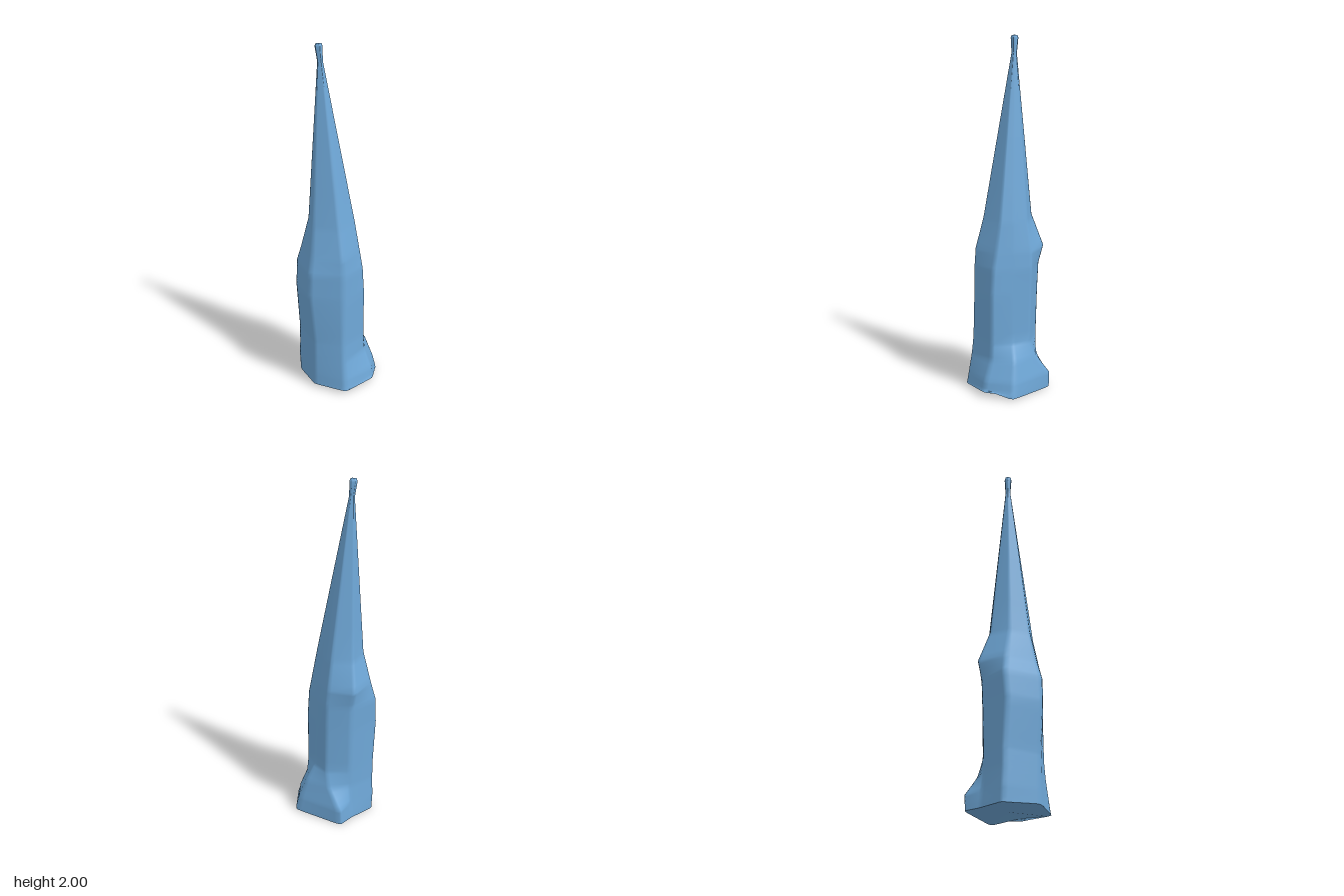
import * as THREE from 'three';

// Cross-sections: height, then seven corners as x, z (front right, right, back right, back, back left, left, front)
const LEVELS = [
  [0.01, 0.13, 0.18, 0.225, 0.025, 0.06, -0.23, -0.03, -0.19, -0.19, -0.15, -0.2, 0.08, -0.07, 0.235],
  [0.09, 0.125, 0.165, 0.205, 0.02, 0.065, -0.23, -0.03, -0.18, -0.195, -0.15, -0.2, 0.08, -0.068, 0.222],
  [0.2, 0.1, 0.125, 0.165, 0.005, 0.09, -0.14, -0.03, -0.17, -0.195, -0.145, -0.2, 0.08, -0.064, 0.205],
  [0.3, 0.098, 0.12, 0.105, 0, 0.09, -0.1, -0.03, -0.17, -0.195, -0.145, -0.2, 0.08, -0.062, 0.195],
  [0.57, 0.1, 0.12, 0.098, 0, 0.09, -0.105, -0.03, -0.178, -0.215, -0.14, -0.228, 0.08, -0.06, 0.188],
  [0.72, 0.095, 0.11, 0.092, 0, 0.09, -0.11, -0.03, -0.185, -0.205, -0.15, -0.224, 0.08, -0.06, 0.186],
  [0.82, 0.085, 0.09, 0.085, 0, 0.08, -0.11, -0.035, -0.216, -0.185, -0.125, -0.203, 0.06, -0.06, 0.18],
  [1.0, 0.065, 0.06, 0.066, -0.01, 0.05, -0.095, -0.058, -0.15, -0.155, -0.085, -0.178, 0.03, -0.062, 0.132],
];
// Tip rings: height, centre x, centre z, radius
const TIP = [
  [1.9, -0.09, -0.054, 0.016], [1.95, -0.094, -0.057, 0.019],
  [1.985, -0.097, -0.058, 0.022], [1.998, -0.097, -0.058, 0.018], [2.0, -0.097, -0.058, 0.01],
];
const SIDES = 7;

// Replaces each sharp corner with three points
function roundedRing(corners) {
  return corners.flatMap((p, i) => {
    const a = p.clone().lerp(corners[(i + SIDES - 1) % SIDES], 0.13);
    const b = p.clone().lerp(corners[(i + 1) % SIDES], 0.13);
    const mid = a.clone().add(b).multiplyScalar(0.5).lerp(p, 0.65);
    return [a, mid, b];
  });
}

function makeRings() {
  const sections = LEVELS.map(([y, ...c]) =>
    roundedRing(Array.from({ length: SIDES }, (_, i) => new THREE.Vector3(c[i * 2], y, c[i * 2 + 1]))));
  // Tip corners follow the directions of the body's corners
  const last = LEVELS[LEVELS.length - 1];
  for (const [y, cx, cz, r] of TIP) {
    sections.push(roundedRing(Array.from({ length: SIDES }, (_, i) => {
      const a = Math.atan2(last[i * 2 + 2] + 0.01, last[i * 2 + 1] + 0.055);
      return new THREE.Vector3(cx + r * Math.cos(a), y, cz + r * Math.sin(a));
    })));
  }
  // Extra rows keep the shading of each ridge local
  const rings = [];
  sections.forEach((ring, s) => {
    rings.push(ring);
    const next = sections[s + 1];
    if (!next) return;
    const cuts = next[0].y - ring[0].y > 0.05 ? [0.2, 0.5, 0.8] : [];
    cuts.forEach((t) => rings.push(ring.map((p, i) => p.clone().lerp(next[i], t))));
  });
  return rings;
}

function loft(rings) {
  const n = rings[0].length;
  const pos = rings.flat().flatMap((p) => [p.x, p.y, p.z]);
  const index = [];
  for (let r = 0; r < rings.length - 1; r++) {
    for (let i = 0; i < n; i++) {
      const a = r * n + i, b = r * n + (i + 1) % n;
      index.push(a, b, b + n, a, b + n, a + n);
    }
  }
  const g = new THREE.BufferGeometry();
  g.setAttribute('position', new THREE.Float32BufferAttribute(pos, 3));
  g.setIndex(index);
  g.computeVertexNormals();
  return g;
}

// Fan closing one ring
function cap(ring, up) {
  const c = new THREE.Vector3();
  ring.forEach((p) => c.addScaledVector(p, 1 / ring.length));
  const pos = [c, ...ring].flatMap((p) => [p.x, p.y, p.z]);
  const index = [];
  ring.forEach((_, i) => {
    const a = i + 1, b = (i + 1) % ring.length + 1;
    index.push(0, ...(up ? [a, b] : [b, a]));
  });
  const g = new THREE.BufferGeometry();
  g.setAttribute('position', new THREE.Float32BufferAttribute(pos, 3));
  g.setIndex(index);
  g.computeVertexNormals();
  return g;
}

export function createModel() {
  const group = new THREE.Group();
  group.name = 'crystalSpire';
  const blue = new THREE.MeshStandardMaterial({ color: 0x6fa8d8 });
  blue.name = 'crystalBlue';

  const rings = makeRings();
  // Underside is lifted a little at the front right and front
  rings[0].forEach((p, i) => {
    const corner = Math.floor(i / 3);
    p.y = corner === 0 ? 0.04 : corner === 5 || corner === 6 ? 0.018 : corner === 1 ? 0.006 : 0;
  });

  const add = (name, geometry) => {
    const mesh = new THREE.Mesh(geometry, blue);
    mesh.name = name;
    group.add(mesh);
  };
  add('shaft', loft(rings));
  add('underside', cap(rings[0], false));
  add('tipCap', cap(rings[rings.length - 1], true));
  return group;
}
